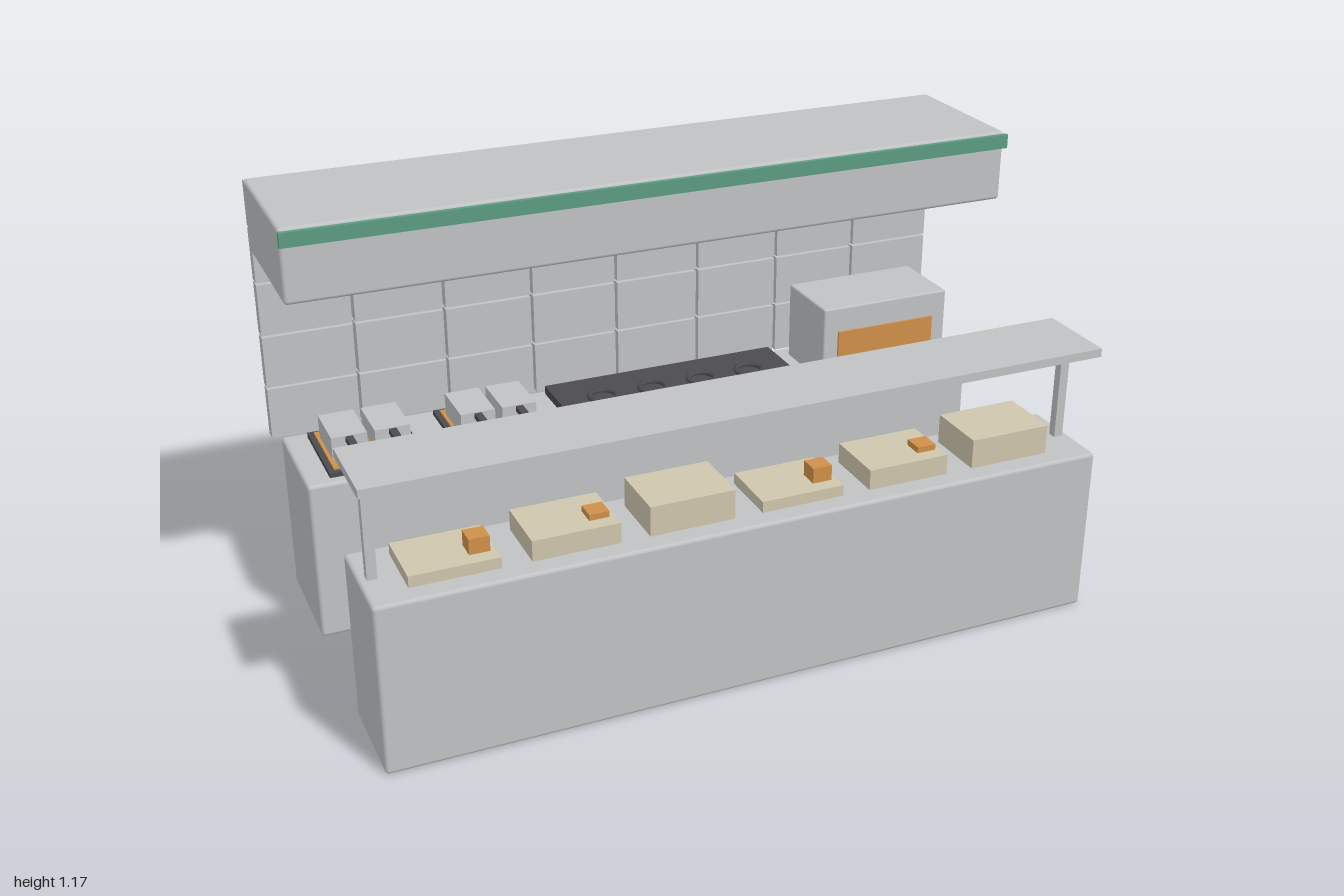
import * as THREE from 'three';
import { RoundedBoxGeometry } from 'three/addons/geometries/RoundedBoxGeometry.js';

function material(name, color) {
  const m = new THREE.MeshStandardMaterial({ color });
  m.name = name;
  return m;
}

export function createModel() {
  const steel = material('steel', 0xc0c2c4);
  const dark = material('dark iron', 0x4c4c50);
  const green = material('green trim', 0x5c9c82);
  const amber = material('amber', 0xd0904a);
  const beige = material('beige tray', 0xd0c6ae);

  const root = new THREE.Group();
  root.name = 'kitchenLine';

  // Box given by its extents on each axis; bevel rounds the edges
  function box(name, mat, [x0, x1], [y0, y1], [z0, z1], bevel = 0) {
    const s = [x1 - x0, y1 - y0, z1 - z0];
    const geo = bevel ? new RoundedBoxGeometry(...s, 2, bevel) : new THREE.BoxGeometry(...s);
    const mesh = new THREE.Mesh(geo, mat);
    mesh.position.set((x0 + x1) / 2, (y0 + y1) / 2, (z0 + z1) / 2);
    mesh.name = name;
    root.add(mesh);
    return mesh;
  }

  // Counters
  box('frontCounter', steel, [-0.975, 0.97], [0, 0.46], [0.23, 0.5], 0.01);
  box('backCounter', steel, [-0.975, 0.97], [0, 0.45], [-0.47, -0.15], 0.01);

  // Extraction hood with trim strip
  box('hood', steel, [-1, 0.995], [0.98, 1.175], [-0.494, -0.077], 0.01);
  box('hoodTrim', green, [-1, 1], [1.13, 1.168], [-0.079, -0.065]);

  // Wall panels, eight columns by five rows with open joints
  for (let c = 0; c < 8; c++) {
    for (let r = 0; r < 5; r++) {
      const x = -1 + c * 0.25;
      const y = 0.455 + r * 0.1485;
      box('wallPanel', steel, [x, x + 0.242], [y, Math.min(y + 0.1425, 1.17)], [-0.498, -0.46]);
    }
  }

  // Serving shelf, posts and heat lamp
  box('servingShelf', steel, [-0.98, 0.975], [0.727, 0.75], [0.25, 0.475]);
  box('heatLamp', amber, [-0.93, 0.92], [0.713, 0.727], [0.3, 0.425]);
  for (const x of [-0.942, 0.938]) {
    box('shelfPost', steel, [x - 0.0125, x + 0.0125], [0.46, 0.727], [0.352, 0.376]);
  }

  // Trays in three heights; the low ones carry food
  for (let i = 0; i < 6; i++) {
    const x = -0.875 + i * 0.3;
    const top = 0.49 + (i % 3) * 0.025;
    box('tray', beige, [x, x + 0.225], [0.46, top], [0.277, 0.445]);
    if (i % 3 < 2) {
      box('foodPortion', amber, [x + 0.158, x + 0.21], [top, 0.531], [0.355, 0.407]);
    }
  }

  // Fryers with two baskets each
  for (const x of [-0.78, -0.43]) {
    box('fryerFrame', dark, [x - 0.13, x + 0.13], [0.45, 0.463], [-0.44, -0.18]);
    box('fryerOil', amber, [x - 0.115, x + 0.115], [0.462, 0.468], [-0.425, -0.195]);
    for (const side of [-1, 1]) {
      const b = x + side * 0.058;
      box('fryerBasket', steel, [b - 0.048, b + 0.048], [0.466, 0.53], [-0.395, -0.245]);
      box('basketHandle', dark, [b - 0.01, b + 0.01], [0.513, 0.528], [-0.246, -0.15]);
    }
  }

  // Cooktop with four ring burners
  box('cooktop', dark, [-0.23, 0.47], [0.45, 0.475], [-0.445, -0.175]);
  for (let i = 0; i < 4; i++) {
    const ring = new THREE.Mesh(new THREE.TorusGeometry(0.038, 0.008, 8, 24), dark);
    ring.rotation.x = -Math.PI / 2;
    ring.position.set(-0.105 + i * 0.15, 0.479, -0.31);
    ring.name = 'burnerRing';
    root.add(ring);
  }

  // Oven with window
  box('oven', steel, [0.525, 0.92], [0.45, 0.675], [-0.42, -0.2], 0.006);
  box('ovenWindow', amber, [0.57, 0.875], [0.527, 0.602], [-0.201, -0.194]);

  return root;
}
